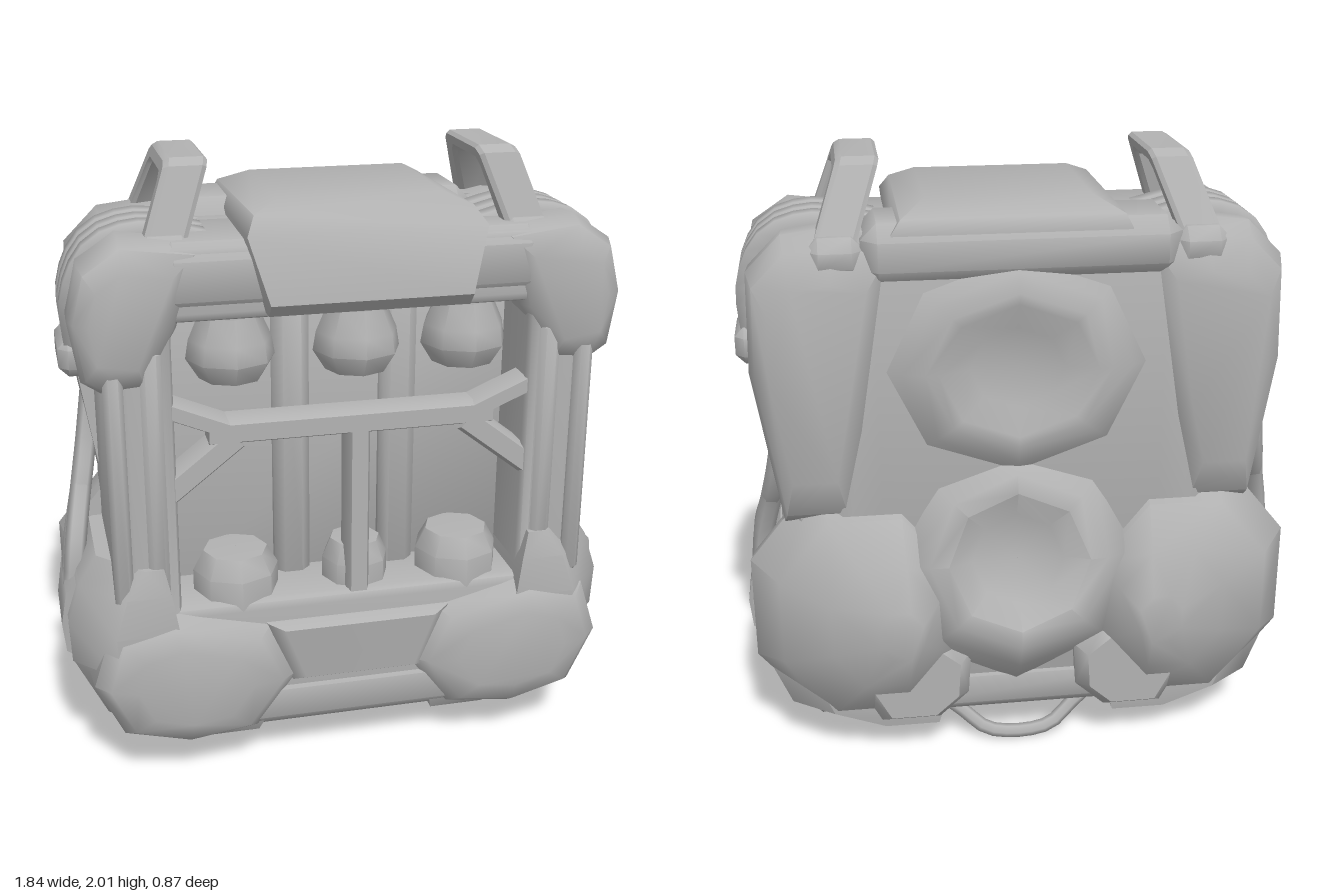
import * as THREE from 'three';
import { toCreasedNormals } from 'three/addons/utils/BufferGeometryUtils.js';
import { ConvexGeometry } from 'three/addons/geometries/ConvexGeometry.js';

const MID = 0.015; // mirror line of the body

export function createModel() {
  const model = new THREE.Group();
  model.name = 'backpack';
  const grey = new THREE.MeshStandardMaterial({ color: 0xb2b2b2 });
  grey.name = 'grey';
  const V = (x, y, z) => new THREE.Vector3(x, y, z);

  const add = (name, geo, crease = 0.85) => {
    const flat = geo.index ? geo.toNonIndexed() : geo;
    const mesh = new THREE.Mesh(toCreasedNormals(flat, crease), grey);
    mesh.name = name;
    model.add(mesh);
    return mesh;
  };
  const hull = (name, pts, crease) => add(name, new ConvexGeometry(pts), crease);

  // outline in x,y repeated at several depths, each scaled about its centre
  const pad = (name, outline, stations, s = 1) => {
    const cx = outline.reduce((a, p) => a + p[0], 0) / outline.length;
    const cy = outline.reduce((a, p) => a + p[1], 0) / outline.length;
    const pts = [];
    for (const [z, k] of stations)
      for (const [x, y] of outline) pts.push(V(MID + s * (cx + (x - cx) * k), cy + (y - cy) * k, z));
    return hull(name, pts);
  };
  // box with bevelled edges
  const block = (name, x0, x1, y0, y1, z0, z1, b = 0.02) => {
    const pts = [];
    for (const [x, dx] of [[x0, b], [x1, -b]])
      for (const [y, dy] of [[y0, b], [y1, -b]])
        for (const [z, dz] of [[z0, b], [z1, -b]])
          pts.push(V(x, y + dy, z + dz), V(x + dx, y, z + dz), V(x + dx, y + dy, z));
    return hull(name, pts);
  };
  // straight flat bar in the front plane
  const bar = (name, x0, y0, x1, y1, w) => {
    const l = Math.hypot(x1 - x0, y1 - y0);
    const nx = (-(y1 - y0) / l) * w / 2, ny = ((x1 - x0) / l) * w / 2;
    const pts = [];
    for (const [z, k] of [[0.25, 1], [0.32, 1], [0.345, 0.7]])
      for (const [x, y] of [[x0, y0], [x1, y1]])
        pts.push(V(x + nx * k, y + ny * k, z), V(x - nx * k, y - ny * k, z));
    hull(name, pts);
  };
  const tube = (name, pts, r) =>
    add(name, new THREE.TubeGeometry(new THREE.CatmullRomCurve3(pts), 14, r, 6), 1.1);
  const lathe = (name, profile) =>
    add(name, new THREE.LatheGeometry(profile.map(p => new THREE.Vector2(...p)), 8));
  const shape = pts => new THREE.Shape(pts.map(p => new THREE.Vector2(...p)));

  // front frame with open bay
  const frame = shape([
    [-0.6, 0.17], [0.6, 0.17], [0.72, 0.3], [0.72, 1.62], [0.6, 1.76], [-0.6, 1.76], [-0.72, 1.62], [-0.72, 0.3],
  ]);
  frame.holes.push(shape([[-0.57, 0.59], [-0.57, 1.55], [0.57, 1.55], [0.57, 0.59]]));
  add('frontFrame', new THREE.ExtrudeGeometry(frame, {
    depth: 0.3, bevelEnabled: true, bevelSize: 0.03, bevelThickness: 0.03, bevelOffset: -0.02, bevelSegments: 2,
  }).translate(MID, 0, 0.03));
  block('bayWall', -0.6, 0.63, 0.5, 1.6, 0, 0.12);
  for (const x of [-0.145, 0.21]) block('bayRib', x - 0.06, x + 0.06, 0.55, 1.58, 0.05, 0.17, 0.03);

  // rear shell and its raised fillers
  pad('rearShell', [[-0.62, 0.15], [0.62, 0.15], [0.77, 0.35], [0.77, 1.6], [0.65, 1.78], [-0.65, 1.78], [-0.77, 1.6], [-0.77, 0.35]],
    [[0.05, 1], [-0.14, 1], [-0.22, 0.92]]);
  pad('rearPanel', [[-0.5, 0.18], [0.5, 0.18], [0.65, 0.5], [0.62, 1.5], [0.5, 1.79], [-0.5, 1.79], [-0.62, 1.5], [-0.65, 0.5]],
    [[-0.1, 1], [-0.22, 1], [-0.272, 0.9]]);
  block('rearTopBeam', -0.48, 0.5, 1.64, 1.83, -0.305, 0, 0.05);
  block('baseBeam', -0.5, 0.5, 0.13, 0.31, -0.28, 0.37, 0.04);
  pad('baseFrontPanel', [[-0.28, 0.52], [0.31, 0.52], [0.23, 0.31], [-0.2, 0.31]], [[0.3, 1.08], [0.37, 1.03], [0.4, 0.85]]);
  block('topBeam', -0.58, 0.61, 1.56, 1.78, 0, 0.375, 0.05);

  // round dishes on the back
  const upperDish = lathe('upperDish', [[0.45, -0.01], [0.36, 0.055], [0.29, 0.078], [0.25, 0.078], [0.15, 0.036], [0.001, 0.03]]);
  upperDish.position.set(0.03, 1.37, -0.25);
  upperDish.rotation.x = -Math.PI / 2;
  upperDish.scale.z = 0.86;
  const lowerDish = lathe('lowerDish', [[0.46, -0.06], [0.37, 0.07], [0.29, 0.135], [0.23, 0.145], [0.15, 0.085], [0.001, 0.07]]);
  lowerDish.position.set(0.035, 0.71, -0.238);
  lowerDish.rotation.x = -Math.PI / 2 + 0.2;

  // top cover, slightly off centre
  const cover = [];
  for (const [y, z, x0, x1] of [
    [1.56, 0.2, -0.26, 0.36], [1.56, 0.4, -0.26, 0.36], [1.6, 0.435, -0.26, 0.36], [1.8, 0.4, -0.32, 0.41],
    [1.85, 0.34, -0.29, 0.38], [1.885, 0.28, -0.21, 0.3], [1.885, -0.17, -0.21, 0.3], [1.84, -0.27, -0.3, 0.38],
    [1.8, -0.29, -0.32, 0.41], [1.6, -0.26, -0.3, 0.4],
  ]) cover.push(V(x0, y, z), V(x1, y, z));
  hull('topCover', cover);

  // canisters in the bay
  for (const [x, r] of [[-0.35, 0.14], [0.05, 0.11], [0.4, 0.14]]) {
    lathe('canisterTop', [[0.001, 1.32], [0.1, 1.325], [0.14, 1.39], [0.13, 1.45], [0.095, 1.53], [0.095, 1.58]])
      .position.set(x, 0, 0.22);
    lathe('canisterBase', [[r, 0.56], [r, 0.67], [r * 0.75, 0.735], [0.001, 0.74]]).position.set(x, 0, 0.22);
  }

  // guard bars across the bay
  bar('guardRail', -0.44, 1.18, 0.47, 1.18, 0.08);
  bar('guardPost', 0.035, 0.55, 0.035, 1.18, 0.075);

  for (const s of [1, -1]) {
    const mx = x => MID + s * x;
    const mirrored = (name, pts) => hull(name, pts.map(p => V(s * p[0], p[1], p[2])));
    const bothX = (a, b) => [Math.min(mx(a), mx(b)), Math.max(mx(a), mx(b))];

    bar('guardBraceUpper', mx(0.4), 1.19, mx(0.6), 1.275, 0.06);
    bar('guardBraceLower', mx(0.37), 1.16, mx(0.6), 0.98, 0.085);

    // side wall and rounded post
    block('sideWall', ...bothX(0.71, 0.77), 0.6, 1.5, -0.17, 0.38, 0.015);
    block('framePost', ...bothX(0.565, 0.69), 0.55, 1.5, 0.15, 0.375, 0.045);

    // upper corner bumpers
    pad('upperFrontBumper', [[0.46, 1.77], [0.7, 1.8], [0.82, 1.72], [0.86, 1.56], [0.83, 1.37], [0.77, 1.33], [0.64, 1.34], [0.54, 1.52]],
      [[0.19, 0.98], [0.31, 1], [0.36, 0.9], [0.39, 0.62]], s);
    pad('upperRearBumper', [[0.38, 1.77], [0.55, 1.81], [0.72, 1.79], [0.83, 1.68], [0.84, 1.36], [0.78, 1.05], [0.76, 0.85], [0.55, 0.85], [0.48, 1.15]],
      [[-0.07, 0.97], [-0.19, 1], [-0.265, 0.9], [-0.31, 0.66]], s);

    // lower corner bumper: main body and the shoulder around the post
    const sections = rows => rows.flatMap(([y, x0, x1, z0, z1]) =>
      [[x0, y, z0], [x0, y, z1], [x1 - 0.14, y, z0], [x1, y, z0 + 0.1], [x1, y, z1 - 0.15], [x1 - 0.14, y, z1]]);
    mirrored('lowerBumper', sections([
      [0.1, 0.3, 0.62, -0.28, 0.32], [0.17, 0.28, 0.79, -0.29, 0.36], [0.4, 0.27, 0.895, -0.26, 0.385], [0.53, 0.4, 0.9, -0.24, 0.375],
    ]));
    mirrored('lowerShoulder', sections([
      [0.4, 0.55, 0.895, -0.24, 0.4], [0.54, 0.56, 0.9, -0.24, 0.405], [0.67, 0.58, 0.86, -0.2, 0.395], [0.76, 0.6, 0.8, -0.17, 0.38],
    ]));
    pad('lowerFrontGuard', [[0.27, 0.52], [0.18, 0.33], [0.32, 0.14], [0.55, 0.11], [0.77, 0.17], [0.86, 0.36], [0.8, 0.55], [0.6, 0.6]],
      [[0.25, 1], [0.36, 0.97], [0.41, 0.82], [0.432, 0.55]], s);
    const ring = (k, z) => [...Array(8)].map((_, i) => {
      const a = (i + 0.5) * Math.PI / 4;
      return [0.55 - (1 - k) * 0.16 + 0.375 * k * Math.cos(a), 0.53 + 0.46 * k * Math.sin(a), z];
    });
    mirrored('lowerRearBumper', [...ring(0.97, -0.08), ...ring(1, -0.17), ...ring(0.82, -0.29), ...ring(0.5, -0.375), ...ring(0.2, -0.435)]);
    pad('lowerRearPad', [[0.17, 0.38], [0.28, 0.47], [0.48, 0.46], [0.56, 0.28], [0.48, 0.13], [0.28, 0.13], [0.18, 0.22]],
      [[-0.2, 1], [-0.29, 0.98], [-0.345, 0.75]], s);

    // lower side pouch
    mirrored('sidePouch', [0.04, -0.04].flatMap(d => [
      [0.78, 0.72, 0.06 + 4 * d], [0.9, 0.62, 0.06 + 3.4 * d], [0.92, 0.5, 0.06 + 3 * d], [0.91, 0.4, 0.06 + 3 * d], [0.82, 0.34, 0.06 + 3.4 * d],
    ]));

    // cords on the side
    for (const z of [0.02, 0.1])
      tube('sideCord', [V(s * 0.87, 0.6, z), V(s * 0.855, 0.73, z - 0.02), V(s * 0.82, 0.88, -0.05), V(s * 0.79, 1.02, -0.12), V(s * 0.76, 1.2, -0.16)], 0.035);

    // strap bundle over the shoulder
    for (const z of [0, 0.085, 0.17])
      tube('strap', [V(mx(0.42), 1.73, z), V(mx(0.62), 1.77, z), V(mx(0.75), 1.73, z), V(mx(0.82), 1.6, z), V(mx(0.81), 1.38, 0.06 + (z - 0.085) * 0.8)], 0.055);
    block('strapCuff', ...bothX(0.72, 0.885), 1.34, 1.46, -0.07, 0.19, 0.03);

    // carry handle, leaning inward
    const grip = shape([
      [0.3, 1.72], [0.225, 1.98], [0.19, 2], [-0.1, 2], [-0.135, 1.98], [-0.27, 1.72], [-0.18, 1.72], [-0.085, 1.93],
      [-0.06, 1.95], [0.16, 1.95], [0.18, 1.93], [0.22, 1.72],
    ]);
    const gripGeo = new THREE.ExtrudeGeometry(grip, {
      depth: 0.1, bevelEnabled: true, bevelSize: 0.01, bevelThickness: 0.015, bevelOffset: -0.01, bevelSegments: 1,
    }).translate(0, 0, -0.05).rotateY(-Math.PI / 2);
    const p = gripGeo.attributes.position;
    for (let i = 0; i < p.count; i++) p.setX(i, p.getX(i) + mx(0.475 + (2 - p.getY(i)) * 0.36));
    add('handle', gripGeo, 0.5);
    for (const z of [0.26, -0.22]) block('handleFoot', ...bothX(0.47, 0.65), 1.66, 1.79, z - 0.07, z + 0.07, 0.04);
  }

  // hanging loop underneath
  tube('bottomLoop', [V(-0.24, 0.15, -0.19), V(-0.17, 0.09, -0.2), V(-0.08, 0.025, -0.23), V(0.12, 0.025, -0.23), V(0.21, 0.09, -0.2), V(0.28, 0.15, -0.19)], 0.024);

  return model;
}
